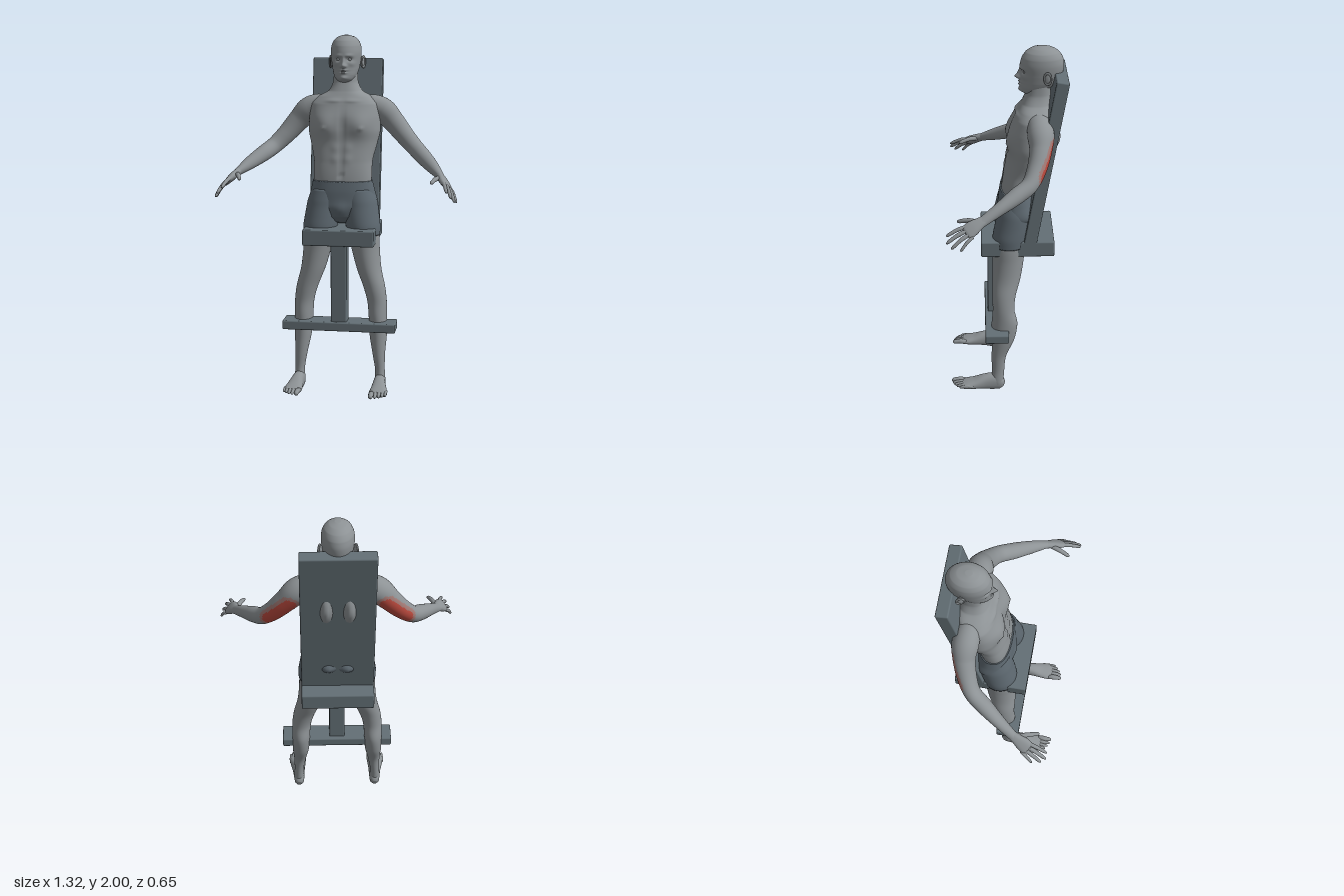
import * as THREE from 'three';
import { RoundedBoxGeometry } from 'three/addons/geometries/RoundedBoxGeometry.js';

const V = (x, y, z) => new THREE.Vector3(x, y, z);
const material = (name, color) => Object.assign(new THREE.MeshStandardMaterial({ color }), { name });

// Smooth skin over elliptical sections [x, y, z, halfWidth, halfDepth].
// side -1 mirrors in x; level keeps sections horizontal; rule moves vertices; pick chooses a material index.
function loft(sections, { rows = 40, n = 32, ref = V(1, 0, 0), level = false, e = 2, side = 1, rule, pick } = {}) {
  const path = new THREE.CatmullRomCurve3(sections.map(s => V(s[0], s[1], s[2])));
  const size = new THREE.CatmullRomCurve3(sections.map(s => V(s[3], s[4], 0)));
  const up = V(0, Math.sign(sections.at(-1)[1] - sections[0][1]), 0);
  const power = c => Math.sign(c) * Math.abs(c) ** (2 / e);
  const points = [];
  for (let i = -1; i <= rows + 1; i++) {
    const t = Math.min(Math.max(i / rows, 0), 1);
    const closed = i < 0 || i > rows ? 0 : 1;
    const c = path.getPoint(t), s = size.getPoint(t);
    const dir = level ? up : path.getTangent(t);
    const u = ref.clone().addScaledVector(dir, -ref.dot(dir)).normalize();
    const v = dir.clone().cross(u);
    for (let j = 0; j < n; j++) {
      const a = j / n * Math.PI * 2;
      const p = c.clone().addScaledVector(u, closed * s.x * power(Math.cos(a)))
        .addScaledVector(v, closed * s.y * power(Math.sin(a)));
      if (rule) rule(p);
      points.push(p);
    }
  }
  const faces = [[], [], []];
  for (let i = 0; i < rows + 2; i++) for (let j = 0; j < n; j++) {
    const k = (j + 1) % n, a = i * n + j, b = i * n + k, c = b + n, d = a + n;
    const m = pick ? pick(points[a].clone().add(points[c]).multiplyScalar(0.5)) : 0;
    faces[m].push(...(side > 0 ? [a, b, c, a, c, d] : [a, c, b, a, d, c]));
  }
  const g = new THREE.BufferGeometry();
  g.setAttribute('position', new THREE.Float32BufferAttribute(points.flatMap(p => [p.x * side, p.y, p.z]), 3));
  g.setIndex(faces.flat());
  let start = 0;
  if (pick) faces.forEach((f, m) => { g.addGroup(start, f.length, m); start += f.length; });
  g.computeVertexNormals();
  return g;
}

// Soft relief: bumps [x, y, height, spreadX, spreadY, +1 front / -1 back], mirrored in x
const relief = (bumps, middle) => p => {
  const z = p.z;
  for (const [x, y, h, sx, sy, f] of bumps) {
    const w = THREE.MathUtils.clamp((z - middle) * f / 0.06, 0, 1);
    p.z += f * w * h * Math.exp(-(((Math.abs(p.x) - x) / sx) ** 2) - ((p.y - y) / sy) ** 2);
  }
};
// Level sections given as [y, front z, back z, halfWidth]
const slices = list => list.map(([y, f, b, w]) => [0, y, (f + b) / 2, w, (f - b) / 2]);

export function createModel() {
  const model = new THREE.Group();
  const skin = material('skin', 0x8d9295), cloth = material('shorts', 0x5d6870), frame = material('frame', 0x636f75);
  const red = material('red muscle', 0xbb4a3e), blush = material('blush', 0xa27a75);
  const add = (name, geometry, mat, x = 0, y = 0, z = 0) => {
    const m = new THREE.Mesh(geometry, mat);
    m.name = name;
    m.position.set(x, y, z);
    model.add(m);
    return m;
  };

  // Support frame
  const box = (name, w, h, d, x, y, z) => add(name, new RoundedBoxGeometry(w, h, d, 2, 0.008), frame, x, y, z);
  box('backBoard', 0.4, 1.005, 0.07, 0, 1.369, -0.203).rotation.x = -0.1735;
  box('seatPlate', 0.4, 0.09, 0.405, 0, 0.895, -0.057);
  box('post', 0.09, 0.48, 0.09, 0, 0.63, 0.065);
  box('footBar', 0.64, 0.052, 0.132, 0, 0.386, 0.06);

  // Torso and neck, with chest, belly and shoulder blade relief
  add('torso', loft(slices([
    [1.1, 0.03, -0.13, 0.155], [1.2, 0.03, -0.135, 0.163], [1.3, 0.015, -0.165, 0.165], [1.4, -0.002, -0.222, 0.188],
    [1.48, -0.008, -0.246, 0.203], [1.55, -0.016, -0.255, 0.2], [1.62, -0.04, -0.254, 0.19], [1.66, -0.062, -0.25, 0.15],
    [1.69, -0.08, -0.242, 0.095], [1.74, -0.1, -0.236, 0.07], [1.8, -0.11, -0.235, 0.066],
  ]), { rows: 90, n: 96, level: true, e: 2.4, rule: relief([
    [0.1, 1.505, 0.022, 0.065, 0.06, 1], [0, 1.5, -0.008, 0.012, 0.09, 1], [0.108, 1.49, 0.008, 0.011, 0.011, 1],
    [0, 1.3, -0.006, 0.01, 0.1, 1], [0.035, 1.38, 0.005, 0.022, 0.025, 1], [0.035, 1.32, 0.005, 0.022, 0.025, 1],
    [0, 1.228, -0.01, 0.009, 0.011, 1], [0.05, 1.64, 0.008, 0.05, 0.012, 1],
    [0.065, 1.5, 0.042, 0.034, 0.095, -1], [0, 1.42, -0.012, 0.015, 0.2, -1],
  ], -0.12) }), skin);

  // Head
  add('head', loft(slices([
    [1.735, -0.105, -0.2, 0.035], [1.755, -0.075, -0.22, 0.051], [1.78, -0.07, -0.245, 0.065], [1.81, -0.071, -0.275, 0.074],
    [1.85, -0.072, -0.297, 0.081], [1.9, -0.07, -0.305, 0.086], [1.94, -0.08, -0.298, 0.083], [1.97, -0.1, -0.278, 0.07],
    [1.99, -0.13, -0.245, 0.046], [2, -0.165, -0.2, 0.015],
  ]), { rows: 90, n: 112, level: true, rule: relief([
    [0, 1.834, 0.026, 0.012, 0.013, 1], [0, 1.855, 0.014, 0.009, 0.02, 1], [0.013, 1.83, 0.009, 0.007, 0.008, 1],
    [0.03, 1.888, 0.007, 0.022, 0.009, 1], [0.031, 1.868, -0.013, 0.016, 0.011, 1], [0.05, 1.842, 0.006, 0.016, 0.014, 1],
    [0, 1.808, 0.009, 0.02, 0.006, 1], [0, 1.793, 0.009, 0.017, 0.006, 1], [0, 1.8005, -0.004, 0.025, 0.003, 1],
    [0, 1.765, 0.009, 0.022, 0.012, 1],
  ], -0.17) }), skin);

  // Shorts: hips first, legs with the limbs below
  add('shortsHips', loft(slices([
    [0.965, 0.025, -0.085, 0.05], [1, 0.048, -0.13, 0.15], [1.07, 0.052, -0.178, 0.196],
    [1.14, 0.046, -0.16, 0.181], [1.197, 0.037, -0.142, 0.168],
  ]), { rows: 40, n: 72, level: true, e: 2.3,
    rule: relief([[0.055, 1.07, 0.03, 0.04, 0.045, -1], [0, 1.04, 0.01, 0.035, 0.04, 1]], -0.06) }), cloth);

  // Red area on the back of the upper arm
  const muscle = new THREE.Line3(V(0.255, 1.52, -0.235), V(0.365, 1.405, -0.185)), nearest = V(0, 0, 0);
  const pick = p => {
    const d = muscle.closestPointToPoint(p, true, nearest).distanceTo(p);
    return d < 0.04 ? 2 : d < 0.058 ? 1 : 0;
  };

  for (const side of [1, -1]) {
    const s = side > 0 ? 'left' : 'right';

    // Ear and eye
    const ear = add(s + 'Ear', new THREE.SphereGeometry(1, 16, 12), skin, side * 0.088, 1.848, -0.212);
    ear.scale.set(0.009, 0.034, 0.02);
    ear.rotation.set(-0.2, side * -0.35, 0);
    const rim = add(s + 'EarRim', new THREE.TorusGeometry(0.02, 0.005, 8, 20), skin, side * 0.094, 1.849, -0.214);
    rim.rotation.y = Math.PI / 2 - side * 0.35;
    rim.scale.y = 1.5;
    add(s + 'Eye', new THREE.SphereGeometry(0.0125, 16, 12), skin, side * 0.031, 1.867, -0.098);

    // Arm
    add(s + 'Arm', loft([
      [0.1, 1.6, -0.165, 0.05, 0.055], [0.15, 1.6, -0.17, 0.07, 0.067], [0.21, 1.58, -0.175, 0.072, 0.07],
      [0.27, 1.52, -0.172, 0.06, 0.062], [0.34, 1.44, -0.148, 0.052, 0.053], [0.402, 1.378, -0.108, 0.045, 0.047],
      [0.45, 1.34, -0.04, 0.044, 0.045], [0.51, 1.295, 0.05, 0.034, 0.036], [0.56, 1.255, 0.13, 0.027, 0.021],
      [0.572, 1.245, 0.15, 0.026, 0.018],
    ], { rows: 90, n: 56, ref: V(0.6, -0.7, -0.4), side, pick }), [skin, blush, red]);

    // Hand
    add(s + 'Palm', loft([
      [0.555, 1.26, 0.12, 0.024, 0.019], [0.571, 1.245, 0.155, 0.031, 0.02], [0.588, 1.227, 0.19, 0.04, 0.019],
      [0.602, 1.212, 0.215, 0.04, 0.015], [0.606, 1.207, 0.224, 0.034, 0.01],
    ], { rows: 24, n: 28, ref: V(0.6, -0.6, -0.5), e: 2.4, side }), skin);
    const digit = (name, a, b, r, bend) => {
      const at = t => [0, 1, 2].map(i => a[i] + (b[i] - a[i]) * t + (i === 1 ? bend * Math.sin(Math.PI * t) : 0));
      add(name, loft([[0, 0.95], [0.35, 1.05], [0.55, 0.95], [0.85, 0.85], [0.96, 0.6], [1, 0.25]]
        .map(([t, k]) => [...at(t), r * k, r * k]), { rows: 18, n: 14, side }), skin);
    };
    [[[0.58, 1.235, 0.21], [0.607, 1.193, 0.322], 0.0105], [[0.596, 1.22, 0.212], [0.632, 1.163, 0.322], 0.011],
      [[0.611, 1.205, 0.203], [0.648, 1.14, 0.297], 0.0105], [[0.622, 1.194, 0.187], [0.656, 1.13, 0.25], 0.009],
      [[0.558, 1.248, 0.16], [0.52, 1.232, 0.268], 0.0125]]
      .forEach(([a, b, r], i) => digit(s + (i < 4 ? 'Finger' : 'Thumb'), a, b, r, 0.008));

    // Leg
    add(s + 'Leg', loft([
      [0.1, 1.08, -0.035, 0.08, 0.08], [0.126, 0.9, -0.012, 0.086, 0.09], [0.14, 0.8, -0.005, 0.078, 0.086],
      [0.16, 0.7, 0.005, 0.069, 0.079], [0.191, 0.6, 0.019, 0.061, 0.065], [0.207, 0.52, 0.022, 0.055, 0.061],
      [0.212, 0.43, 0.017, 0.052, 0.073], [0.215, 0.33, 0.025, 0.049, 0.064], [0.222, 0.22, 0.05, 0.035, 0.041],
      [0.23, 0.12, 0.055, 0.027, 0.035], [0.231, 0.06, 0.06, 0.031, 0.036], [0.231, 0.03, 0.06, 0.026, 0.03],
    ], { rows: 70, n: 40, level: true, side }), skin);
    add(s + 'ShortsLeg', loft([
      [0.085, 1.15, -0.045, 0.085, 0.08], [0.1, 1.08, -0.045, 0.098, 0.098], [0.112, 1, -0.03, 0.099, 0.1],
      [0.12, 0.95, -0.018, 0.098, 0.098], [0.126, 0.897, -0.012, 0.092, 0.096],
    ], { rows: 24, n: 40, level: true, side }), cloth);

    // Foot and toes
    add(s + 'Foot', loft([
      [0.23, 0.034, 0.022, 0.014, 0.018], [0.23, 0.04, 0.036, 0.027, 0.036], [0.231, 0.055, 0.08, 0.033, 0.052],
      [0.234, 0.056, 0.13, 0.037, 0.045], [0.238, 0.05, 0.19, 0.046, 0.029], [0.24, 0.047, 0.235, 0.051, 0.02],
      [0.24, 0.046, 0.262, 0.047, 0.013],
    ], { rows: 36, n: 32, e: 2.3, side }), skin);
    [[0.205, 0.322, 0.0145], [0.229, 0.317, 0.0105], [0.248, 0.307, 0.01], [0.266, 0.294, 0.0095], [0.281, 0.278, 0.009]]
      .forEach(([x, z, r]) => digit(s + 'Toe', [x, 0.047, z - 0.08], [x + 0.002, 0.046, z], r, 0.006));
  }
  return model;
}
